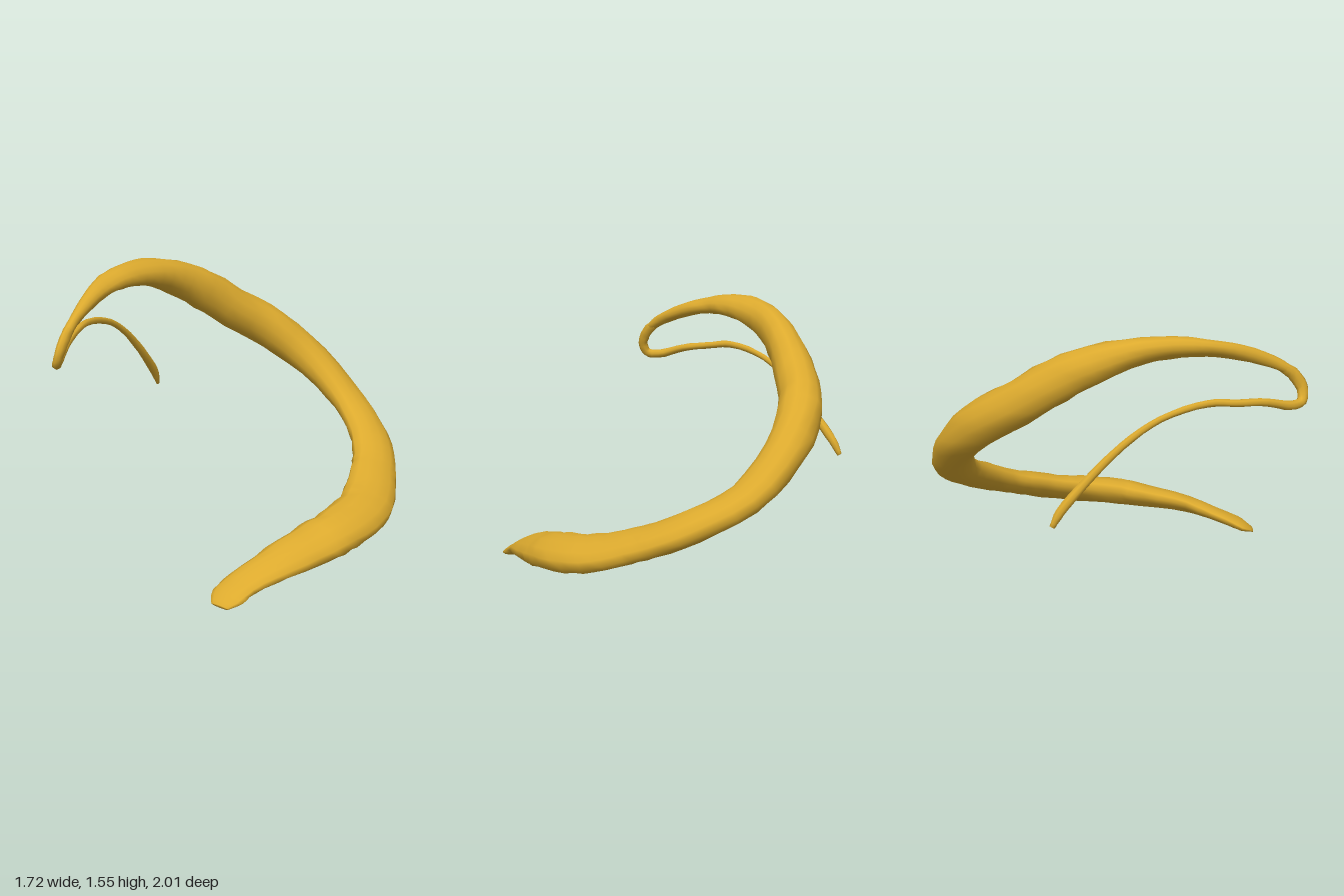
import * as THREE from 'three';

const gold = new THREE.MeshStandardMaterial({ color: 0xdcaa2e });
gold.name = 'gold';

// small seeded generator for the hand-shaped surface
function seeded(seed) {
  return () => {
    seed = (seed * 16807) % 2147483647;
    return seed / 2147483647;
  };
}

// Lofts an oval tube through stations [x, y, z, half width, half thickness, roll].
// "up" sets the direction of the thickness; roll (optional) turns the oval.
function loft(stations, up, rings, sides, bump) {
  const path = new THREE.CatmullRomCurve3(stations.map(s => new THREE.Vector3(s[0], s[1], s[2])));
  const sizes = new THREE.CatmullRomCurve3(
    stations.map(s => new THREE.Vector3(s[3], s[4], s[5] ?? 0)), false, 'catmullrom', 0.5);
  const rand = seeded(41);
  const pos = [], index = [];
  for (let i = 0; i <= rings; i++) {
    const t = i / rings;
    const p = path.getPoint(t), size = sizes.getPoint(t), dir = path.getTangent(t);
    const side = dir.clone().cross(up).normalize().applyAxisAngle(dir, -size.z);
    const normal = side.clone().cross(dir);
    for (let j = 0; j < sides; j++) {
      const a = (j / sides) * Math.PI * 2;
      const k = 1 + bump * (rand() - 0.5);
      const v = p.clone()
        .addScaledVector(side, Math.cos(a) * size.x * k)
        .addScaledVector(normal, Math.sin(a) * size.y * k);
      pos.push(v.x, v.y, v.z);
      if (i < rings) {
        const n = (j + 1) % sides, r = i * sides;
        index.push(r + j, r + sides + j, r + n, r + n, r + sides + j, r + sides + n);
      }
    }
  }
  // end caps
  const first = pos.length / 3, last = rings * sides;
  for (const t of [0, 1]) pos.push(...path.getPoint(t).toArray());
  for (let j = 0; j < sides; j++) {
    const n = (j + 1) % sides;
    index.push(first, j, n, first + 1, last + n, last + j);
  }
  const geo = new THREE.BufferGeometry();
  geo.setAttribute('position', new THREE.Float32BufferAttribute(pos, 3));
  geo.setIndex(index);
  geo.computeVertexNormals();
  return geo;
}

function addPart(group, name, geometry) {
  const mesh = new THREE.Mesh(geometry, gold);
  mesh.name = name;
  group.add(mesh);
}

export function createModel() {
  const group = new THREE.Group();
  group.name = 'curvedHorn';

  // thick coil, from the flattened front tip round the back to the upper left
  addPart(group, 'thickCoil', loft([
    [0.315, 0.012, 0.995, 0.055, 0.01, 0.4],
    [0.33, 0.043, 0.93, 0.1, 0.03, 0.38],
    [0.37, 0.085, 0.835, 0.1, 0.036, 0.2],
    [0.493, 0.15, 0.635, 0.117, 0.05, 0.03],
    [0.605, 0.19, 0.395, 0.138, 0.068],
    [0.67, 0.212, 0.25, 0.143, 0.078],
    [0.717, 0.243, 0, 0.149, 0.078],
    [0.705, 0.275, -0.17, 0.152, 0.072],
    [0.66, 0.33, -0.345, 0.142, 0.07],
    [0.62, 0.375, -0.475, 0.136, 0.07],
    [0.515, 0.465, -0.66, 0.13, 0.075],
    [0.32, 0.6, -0.835, 0.122, 0.078],
    [0.065, 0.81, -0.88, 0.12, 0.104],
    [-0.17, 1.005, -0.8, 0.122, 0.125],
    [-0.35, 1.16, -0.625, 0.115, 0.122],
    [-0.475, 1.305, -0.44, 0.1, 0.12],
    [-0.57, 1.405, -0.26, 0.092, 0.103],
    [-0.643, 1.478, -0.02, 0.095, 0.07],
    [-0.67, 1.49, 0.18, 0.077, 0.056],
    [-0.69, 1.477, 0.32, 0.066, 0.044],
    [-0.682, 1.44, 0.5, 0.048, 0.042],
    [-0.672, 1.37, 0.69, 0.03, 0.034],
    [-0.67, 1.325, 0.77, 0.026, 0.027],
    [-0.67, 1.29, 0.81, 0.01, 0.01],
  ], new THREE.Vector3(0.4, 0.9, 0).normalize(), 69, 13, 0.08));

  // thin strand, turning back at the front and sweeping down to the rear
  addPart(group, 'thinStrand', loft([
    [-0.674, 1.39, 0.65, 0.012, 0.012],
    [-0.672, 1.34, 0.745, 0.028, 0.025],
    [-0.67, 1.285, 0.815, 0.034, 0.026],
    [-0.68, 1.21, 0.857, 0.032, 0.025],
    [-0.705, 1.152, 0.845, 0.028, 0.025],
    [-0.74, 1.145, 0.77, 0.026, 0.025],
    [-0.79, 1.19, 0.61, 0.022, 0.025],
    [-0.838, 1.216, 0.42, 0.02, 0.023],
    [-0.848, 1.23, 0.26, 0.02, 0.016],
    [-0.85, 1.17, 0.01, 0.018, 0.014],
    [-0.845, 1.045, -0.19, 0.022, 0.017],
    [-0.84, 0.87, -0.38, 0.025, 0.024],
    [-0.845, 0.72, -0.52, 0.026, 0.022],
    [-0.85, 0.645, -0.565, 0.016, 0.01],
  ], new THREE.Vector3(1, 0, 0), 52, 8, 0.12));

  return group;
}
